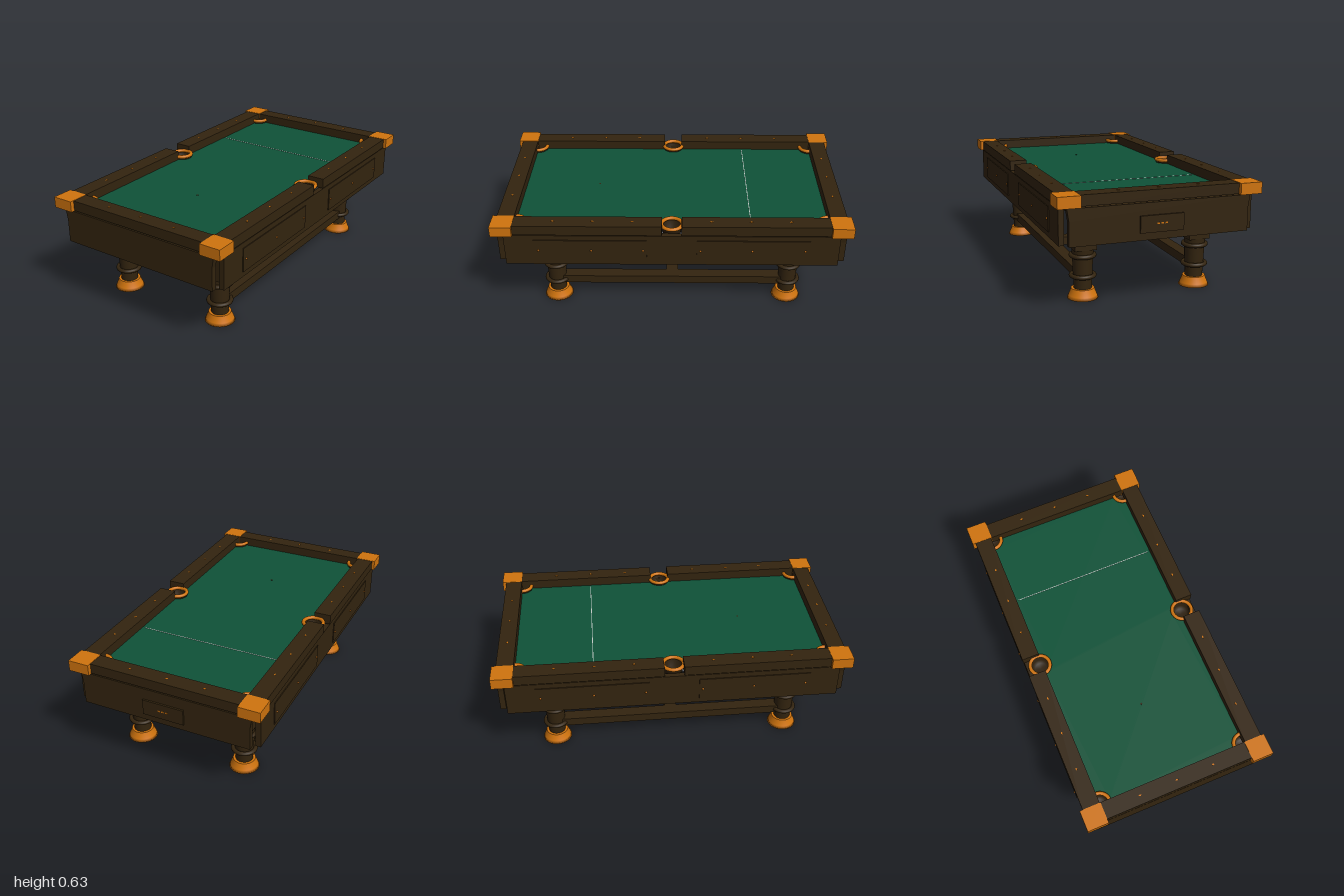
import * as THREE from 'three';

const paint = (name, color, extra = {}) => {
  const m = new THREE.MeshStandardMaterial({ color, ...extra });
  m.name = name;
  return m;
};

export function createModel() {
  const wood = paint('darkWood', 0x33240f);
  const pocketWood = paint('pocketLining', 0x2e200e, { side: THREE.DoubleSide });
  const gold = paint('gold', 0xd0740e);
  const cloth = paint('greenCloth', 0x0f5238);
  const chalk = paint('chalkLine', 0xc4ccc8);
  const steel = paint('steel', 0x8c909c);

  const table = new THREE.Group();
  table.name = 'poolTable';

  const add = (name, geo, mat, x = 0, y = 0, z = 0, parent = table) => {
    const mesh = new THREE.Mesh(geo, mat);
    mesh.name = name;
    mesh.position.set(x, y, z);
    parent.add(mesh);
    return mesh;
  };
  // Box given by its extents on each axis
  const box = (name, mat, [x0, x1], [y0, y1], [z0, z1]) =>
    add(name, new THREE.BoxGeometry(x1 - x0, y1 - y0, z1 - z0), mat,
      (x0 + x1) / 2, (y0 + y1) / 2, (z0 + z1) / 2);
  // Extents mirrored to the negative side when s is -1
  const span = (s, a, b) => (s > 0 ? [a, b] : [-b, -a]);
  const signs = [1, -1];

  // Playing bed, notched for the six pockets
  const W = 0.44, L = 0.88, R = 0.06, sideX = 0.455, PI = Math.PI;
  const b = Math.acos((sideX - W) / R);
  const bed = new THREE.Shape();
  [
    [sideX, 0, PI + b, PI - b],
    [W, L, 1.5 * PI, PI],
    [-W, L, 0, -PI / 2],
    [-sideX, 0, b, -b],
    [-W, -L, PI / 2, 0],
    [W, -L, PI, PI / 2],
  ].forEach(([x, y, a0, a1]) => bed.absarc(x, y, R, a0, a1, true));
  const bedGeo = new THREE.ExtrudeGeometry(bed, { depth: 0.018, bevelEnabled: false, curveSegments: 16 });
  bedGeo.rotateX(PI / 2);
  add('bed', bedGeo, cloth, 0, 0.576, 0);

  // Markings on the cloth
  box('headLine', chalk, [-0.425, 0.425], [0.576, 0.5775], [-0.447, -0.443]);
  add('footSpot', new THREE.CylinderGeometry(0.006, 0.006, 0.002, 12), wood, 0, 0.577, 0.44);

  // Pockets: a lined cup and a gold rim
  const cup = new THREE.LatheGeometry(
    [[0, 0.525], [0.035, 0.525], [0.05, 0.54], [0.058, 0.585]].map(p => new THREE.Vector2(...p)), 28);
  const rim = new THREE.TorusGeometry(0.058, 0.011, 10, 36);
  rim.rotateX(PI / 2);
  const pocket = (x, z) => {
    add('pocketCup', cup, pocketWood, x, 0, z);
    add('pocketRim', rim, gold, x, 0.594, z);
  };

  // Gold diamond inlay
  const inlayGeo = new THREE.CylinderGeometry(0.009, 0.009, 0.002, 4);
  const inlay = (x, z, alongX) => {
    const m = add('railDiamond', inlayGeo, gold, x, 0.631, z);
    m.scale.set(alongX ? 1 : 0.6, 1, alongX ? 0.6 : 1);
  };

  // Long sides: rails, aprons, raised panels and studs
  const stud = new THREE.SphereGeometry(0.006, 10, 8);
  for (const s of signs) {
    pocket(s * sideX, 0);
    box('sideApron', wood, span(s, 0.505, 0.535), [0.37, 0.565], [-0.935, 0.935]);
    for (const t of signs) {
      pocket(s * W, t * L);
      box('sideRail', wood, span(s, W, 0.54), [0.572, 0.63], span(t, 0.055, 0.88));
      box('sidePanel', wood, span(s, 0.535, 0.54), [0.4, 0.535], span(t, 0.14, 0.77));
      box('cornerCap', gold, span(s, 0.435, 0.558), [0.57, 0.632], span(t, 0.88, 1));
      for (const z of [0.22, 0.44, 0.66]) inlay(s * 0.488, t * z, false);
      for (const z of [0.16, 0.45, 0.745]) add('panelStud', stud, gold, s * 0.54, 0.468, t * z);
    }
  }

  // Short ends: rails and aprons that flare slightly at the top
  const apron = new THREE.Shape([
    [-0.493, 0.37], [0.493, 0.37], [0.493, 0.5], [0.503, 0.565],
    [-0.503, 0.565], [-0.493, 0.5],
  ].map(p => new THREE.Vector2(...p)));
  const apronGeo = new THREE.ExtrudeGeometry(apron, { depth: 0.032, bevelEnabled: false });
  for (const t of signs) {
    add('endApron', apronGeo, wood, 0, 0, t > 0 ? 0.945 : -0.977);
    box('endRail', wood, [-0.437, 0.437], [0.572, 0.63], span(t, 0.88, 0.977));
    for (const x of [-0.22, 0, 0.22]) inlay(x, t * 0.928, true);
  }

  // Back plaque with a plain gold inlay
  box('backPlaque', wood, [-0.12, 0.12], [0.41, 0.5], [-0.987, -0.976]);
  for (const x of [-0.022, 0, 0.022])
    box('plaqueInlay', gold, [x - 0.007, x + 0.007], [0.453, 0.461], [-0.989, -0.986]);

  // Turned legs with square heads and flared gold feet
  const lathe = (pts, n = 32) => new THREE.LatheGeometry(pts.map(p => new THREE.Vector2(...p)), n);
  const shaft = lathe([[0.049, 0.05], [0.05, 0.1], [0.054, 0.16], [0.056, 0.23], [0.06, 0.28]]);
  const foot = lathe([[0, 0], [0.085, 0], [0.077, 0.018], [0.069, 0.036], [0.063, 0.055], [0.063, 0.055], [0, 0.055]]);
  const ring = new THREE.TorusGeometry(0.063, 0.012, 10, 32);
  ring.rotateX(PI / 2);
  for (const x of [0.33, -0.33]) {
    for (const z of [0.69, -0.69]) {
      const leg = new THREE.Group();
      leg.name = 'leg';
      leg.position.set(x, 0, z);
      table.add(leg);
      add('foot', foot, gold, 0, 0, 0, leg);
      add('legShaft', shaft, wood, 0, 0, 0, leg);
      for (const y of [0.126, 0.238]) add('legRing', ring, wood, 0, y, 0, leg);
      add('legHead', new THREE.BoxGeometry(0.123, 0.145, 0.123), wood, 0, 0.3475, 0, leg);
    }
    // Long stretcher and the ball-return rod above it
    box('longStretcher', wood, [x - 0.035, x + 0.035], [0.102, 0.152], [-0.66, 0.66]);
    const rod = add('returnRod', new THREE.CylinderGeometry(0.007, 0.007, 1.46, 10), steel, x * 0.94, 0.428, 0);
    rod.rotation.x = PI / 2;
  }
  box('crossStretcher', wood, [-0.3, 0.3], [0.103, 0.151], [-0.035, 0.035]);

  return table;
}
